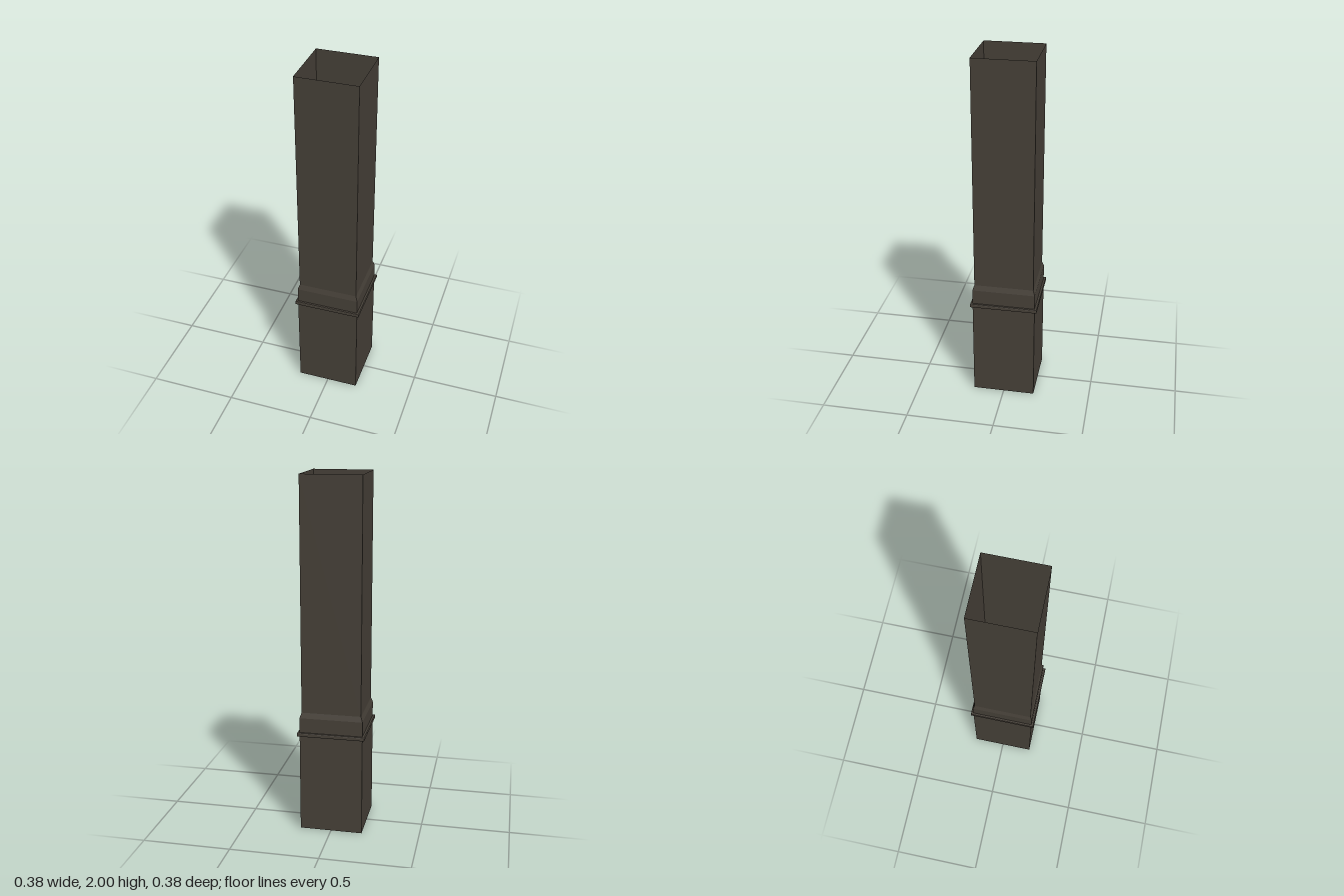
import * as THREE from 'three';

const darkBrown = new THREE.MeshStandardMaterial({ color: 0x453f37, flatShading: true, side: THREE.DoubleSide });
darkBrown.name = 'dark brown metal';

// Square shell from a profile of [half width, height] pairs
function squareShell(name, profile) {
  const points = profile.map(([half, y]) => new THREE.Vector2(half * Math.SQRT2, y));
  const geometry = new THREE.LatheGeometry(points, 4).rotateY(Math.PI / 4).toNonIndexed();
  geometry.computeVertexNormals();
  const mesh = new THREE.Mesh(geometry, darkBrown);
  mesh.name = name;
  return mesh;
}

export function createModel() {
  const group = new THREE.Group();
  group.name = 'squareDownpipe';

  // Wide socket at the foot
  group.add(squareShell('lowerSocket', [[0.177, 0], [0.177, 0.67]]));

  // Sloped step from socket to pipe
  group.add(squareShell('shoulder', [[0.177, 0.67], [0.167, 0.70]]));

  // Long open pipe
  group.add(squareShell('upperPipe', [[0.167, 0.70], [0.167, 2]]));

  // Thin band around the socket
  group.add(squareShell('collar', [
    [0.177, 0.565], [0.188, 0.565], [0.19, 0.569],
    [0.19, 0.582], [0.188, 0.586], [0.177, 0.586],
  ]));

  return group;
}
